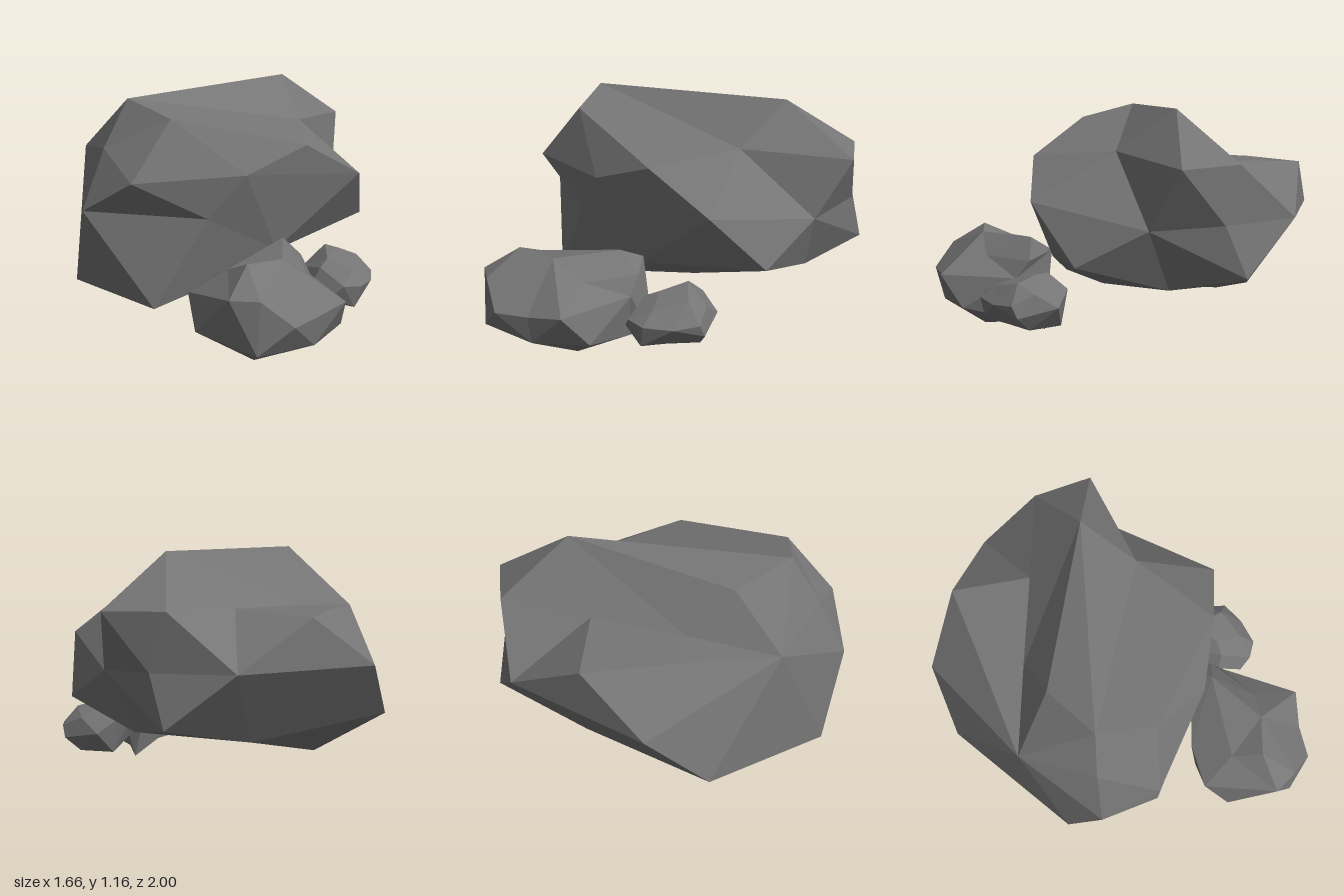
import * as THREE from 'three';
import { ConvexGeometry } from 'three/addons/geometries/ConvexGeometry.js';

const material = new THREE.MeshStandardMaterial({ color: 0x757575, flatShading: true });

// Skins a cloud of corner points: the corners are joined on a sphere, then moved
// back to their real places, so that shallow dents survive.
function rock(name, corners) {
  const pts = corners.map((c) => new THREE.Vector3(...c));
  const box = new THREE.Box3().setFromPoints(pts);
  const centre = box.getCenter(new THREE.Vector3());
  const size = box.getSize(new THREE.Vector3());
  const dirs = pts.map((p) => p.clone().sub(centre).divide(size).normalize());
  const geometry = new ConvexGeometry(dirs);
  const pos = geometry.attributes.position;
  const v = new THREE.Vector3();
  for (let i = 0; i < pos.count; i++) {
    v.fromBufferAttribute(pos, i);
    let best = 0;
    dirs.forEach((d, k) => {
      if (d.distanceToSquared(v) < dirs[best].distanceToSquared(v)) best = k;
    });
    pos.setXYZ(i, ...pts[best].toArray());
  }
  geometry.computeVertexNormals();
  const mesh = new THREE.Mesh(geometry, material);
  mesh.name = name;
  return mesh;
}

export function createModel() {
  const group = new THREE.Group();
  group.name = 'rockCluster';

  group.add(rock('largeBoulder', [
    // top, with the crease that crosses its back half
    [-0.56, 1.14, -0.04], [-0.43, 1.07, 0.22], [0.45, 1.165, -0.39], [0.41, 0.96, -0.1],
    [-0.4, 1.08, -0.32], [0.21, 0.905, -0.6], [-0.24, 0.885, -0.5], [-0.3, 0.88, -0.69],
    // front
    [0.23, 0.915, 0.345], [-0.11, 0.8, 0.385], [-0.66, 0.79, 0.295], [0.57, 0.73, 0.28],
    [-0.29, 0.59, 0.33], [0.1, 0.38, 0.28], [-0.2, 0.25, 0.27], [-0.55, 0.15, 0.27],
    // left side
    [0.83, 0.92, -0.455], [0.73, 0.63, -0.3], [0.72, 0.45, 0.04], [0.65, 0.93, -0.7],
    [0.7, 0.66, -0.64], [0.69, 0.42, -0.74], [0.62, 0.34, -0.38],
    // right side
    [-0.7, 0.91, 0], [-0.83, 0.62, 0.05], [-0.82, 0.21, -0.15], [-0.68, 0.85, -0.4],
    // back
    [0.05, 0.89, -0.96], [0.45, 0.67, -0.945], [-0.29, 0.65, -1], [-0.53, 0.37, -0.83],
    // underside
    [0.2, 0.3, -0.72], [-0.33, 0.15, -0.54], [-0.54, 0.25, -0.3], [0.2, 0.27, 0],
  ]));

  group.add(rock('mediumRock', [
    // top
    [-0.27, 0.485, 0.75], [-0.07, 0.47, 0.7], [0.08, 0.475, 0.4], [0.08, 0.37, 0.64],
    [-0.3, 0.42, 0.6], [0.12, 0.42, 0.28],
    // front
    [-0.15, 0.25, 1], [-0.29, 0.37, 0.94], [-0.41, 0.37, 0.87], [0, 0.25, 0.92],
    [0, 0.11, 0.9], [-0.31, 0.12, 0.95],
    // sides
    [0.18, 0.28, 0.86], [0.23, 0.12, 0.73], [0.21, 0.28, 0.45], [0.19, 0.37, 0.38],
    [-0.48, 0.155, 0.64], [-0.46, 0.3, 0.5],
    // back and underside
    [-0.27, 0.33, 0.38], [-0.3, 0.1, 0.42], [-0.28, 0.065, 0.85], [0.05, 0.0, 0.66],
    [0, 0.07, 0.4], [0.17, 0.05, 0.42], [0.21, 0.02, 0.3],
  ]));

  group.add(rock('smallRock', [
    // top
    [0.34, 0.33, 0.38], [0.45, 0.35, 0.3], [0.52, 0.325, 0.36], [0.4, 0.36, 0.24],
    // front
    [0.27, 0.18, 0.54], [0.33, 0.24, 0.575], [0.43, 0.23, 0.575], [0.42, 0.29, 0.5],
    [0.4, 0.12, 0.56], [0.28, 0.3, 0.42],
    // sides
    [0.54, 0.22, 0.48], [0.605, 0.23, 0.37], [0.61, 0.17, 0.34], [0.55, 0.28, 0.27],
    [0.23, 0.22, 0.42], [0.21, 0.15, 0.32],
    // back and underside
    [0.54, 0.1, 0.3], [0.43, 0.095, 0.42], [0.3, 0.12, 0.4], [0.42, 0.1, 0.17],
    [0.4, 0.28, 0.14], [0.28, 0.25, 0.22], [0.52, 0.21, 0.16],
  ]));

  return group;
}
